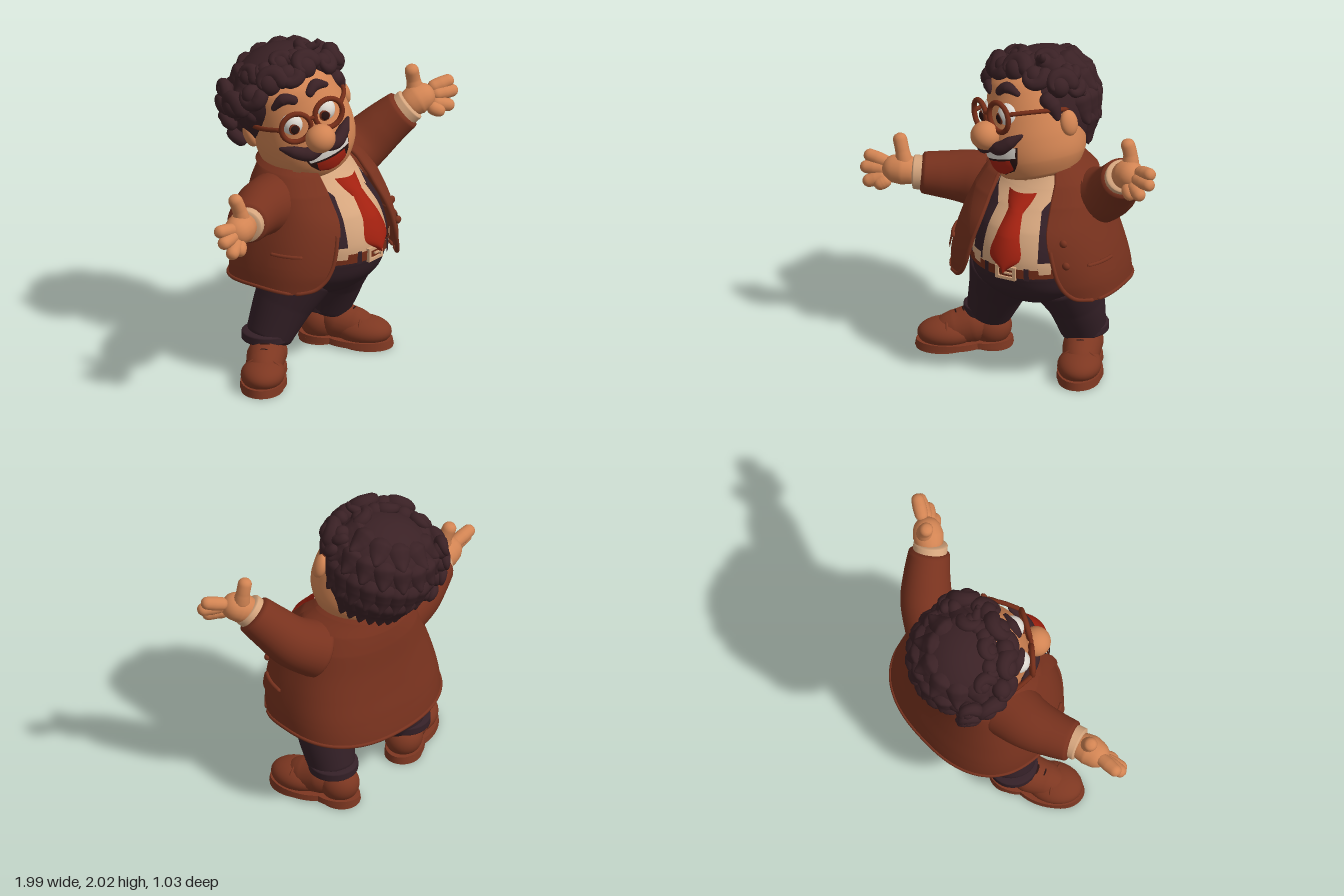
import * as THREE from 'three';
import { mergeVertices } from 'three/addons/utils/BufferGeometryUtils.js';
import { ParametricGeometry } from 'three/addons/geometries/ParametricGeometry.js';

const mat = (name, color) => new THREE.MeshStandardMaterial({ name, color, side: THREE.DoubleSide });
const skin = mat('skin', 0xd28453), hair = mat('hair', 0x3a2125), trouser = mat('trousers', 0x342027),
  jacketMat = mat('jacket', 0x78321e), shirtMat = mat('shirt', 0xd6a67e), tieMat = mat('tie red', 0xa32110),
  white = mat('white', 0xddd8d0), shoeMat = mat('shoe leather', 0x7d3721), leather = mat('belt leather', 0x742d18),
  dark = mat('dark', 0x2a1412);
const V = a => new THREE.Vector3(...a);

function add(parent, name, geo, material, pos = [0, 0, 0], scale = [1, 1, 1]) {
  const m = new THREE.Mesh(geo, material);
  m.name = name;
  m.position.set(...pos);
  m.scale.set(...scale);
  parent.add(m);
  return m;
}
const ball = (g, name, material, pos, scale) => add(g, name, new THREE.SphereGeometry(1, 32, 20), material, pos, scale);

// Tapered tube through points; cap = 1 gives round ends, small values nearly flat ends
function tube(g, name, material, pts, radii, cap = 1, n = 28, sides = 16) {
  const path = new THREE.CatmullRomCurve3(pts.map(V)), len = path.getLength();
  let geo = new THREE.TubeGeometry(path, n, 1, sides);
  const p = geo.attributes.position, v = new THREE.Vector3();
  for (let i = 0; i <= n; i++) {
    const c = path.getPointAt(i / n), k = i / n * (radii.length - 1), j = Math.min(Math.floor(k), radii.length - 2);
    const r = THREE.MathUtils.lerp(radii[j], radii[j + 1], k - j);
    const d = Math.min(1, Math.min(i, n - i) / n * len / (r * cap));
    for (let s = 0; s <= sides; s++) {
      const q = i * (sides + 1) + s;
      v.fromBufferAttribute(p, q).sub(c).multiplyScalar(r * Math.sqrt(1 - (1 - d) ** 2)).add(c);
      p.setXYZ(q, v.x, v.y, v.z);
    }
  }
  geo.deleteAttribute('normal');
  geo.deleteAttribute('uv');
  geo = mergeVertices(geo, 1e-5);
  geo.computeVertexNormals();
  return add(g, name, geo, material);
}

// Smooth interpolation of rows [y, ...values]
function at(rows, y) {
  let i = 0;
  while (i < rows.length - 2 && y > rows[i + 1][0]) i++;
  const b = rows[i], c = rows[i + 1], a = rows[i - 1] || b, d = rows[i + 2] || c;
  const s = THREE.MathUtils.clamp((y - b[0]) / (c[0] - b[0]), 0, 1);
  return b.map((_, k) => b[k] + 0.5 * s * (c[k] - a[k] + s * (2 * a[k] - 5 * b[k] + 4 * c[k] - d[k] + s * (3 * (b[k] - c[k]) + d[k] - a[k]))));
}
// Point on a body surface with rows [y, half width, front depth, back depth, squareness]; t runs round from the front
function around(rows, y, t, off = 0) {
  const [, a, f, b, n = 2] = at(rows, y), c = Math.cos(t), s = Math.sin(t);
  const k = (Math.abs(s) ** n + Math.abs(c) ** n) ** (-1 / n);
  return [(a * k + off) * s, y, ((c > 0 ? f : b) * k + off) * c];
}
// Patch of that surface between two angles that may depend on y; lift moves its lower edge
function patch(g, name, material, rows, y0, y1, ta, tb, off = 0, nu = 48, nv = 28, lift = () => 0) {
  return add(g, name, new ParametricGeometry((u, v, o) => {
    const y = y0 + (y1 - y0) * v, t = THREE.MathUtils.lerp(ta(y), tb(y), u);
    o.set(...around(rows, y, t, off));
    o.y += lift(t) * (1 - v) ** 2;
  }, nu, nv), material);
}
const full = [() => 0, () => Math.PI * 2];
// Band lying on the front of a surface; line rows are [y, centre x, half width]
function strip(g, name, material, rows, line, off, bulge = 0) {
  const y0 = line[0][0], y1 = line[line.length - 1][0];
  return add(g, name, new ParametricGeometry((u, v, o) => {
    const y = y0 + (y1 - y0) * v, [, cx, w] = at(line, y), [, a, f] = at(rows, y), k = 2 * u - 1, x = cx + w * k;
    o.set(x, y, f * Math.sqrt(Math.max(0.02, 1 - (x / a) ** 2)) + off + bulge * (1 - k * k));
  }, 16, 24), material);
}

const JACKET = [[0.57, 0.535, 0.4, 0.42, 2.5], [0.7, 0.525, 0.43, 0.4, 2.5], [0.85, 0.495, 0.435, 0.37, 2.4], [1, 0.45, 0.4, 0.345, 2.3],
  [1.15, 0.4, 0.3, 0.33, 2.2], [1.25, 0.33, 0.22, 0.31, 2.1], [1.32, 0.23, 0.15, 0.28, 2], [1.37, 0.16, 0.1, 0.23, 2]];
const OPEN = [[0.57, 1.02], [0.6, 0.78], [0.66, 0.65], [0.75, 0.58], [0.9, 0.54], [1.05, 0.51], [1.2, 0.55], [1.3, 0.7], [1.37, 1]];
const SHIRT = [[0.72, 0.395, 0.44, 0.3], [0.85, 0.4, 0.44, 0.3], [1, 0.37, 0.39, 0.29], [1.12, 0.32, 0.29, 0.27],
  [1.22, 0.25, 0.2, 0.2], [1.31, 0.19, 0.15, 0.14]];
const HIPS = [[0.46, 0.12, 0.1, 0.1], [0.5, 0.28, 0.27, 0.22], [0.6, 0.38, 0.385, 0.29], [0.7, 0.402, 0.435, 0.31], [0.765, 0.405, 0.448, 0.31]];
const HEAD = [[-0.32, 0.005, 0.005, 0.005], [-0.312, 0.12, 0.14, 0.12], [-0.27, 0.22, 0.255, 0.2], [-0.17, 0.285, 0.305, 0.26], [-0.05, 0.3, 0.315, 0.28],
  [0.08, 0.288, 0.29, 0.28], [0.2, 0.262, 0.262, 0.27], [0.3, 0.225, 0.225, 0.23], [0.38, 0.13, 0.13, 0.13], [0.41, 0.005, 0.005, 0.005]];

function buildBody(g) {
  const t0 = y => at(OPEN, y)[1], lift = t => 0.035 - 0.055 * Math.cos(t) ** 2;
  patch(g, 'hips', trouser, HIPS, 0.46, 0.765, ...full);
  patch(g, 'shirt', shirtMat, SHIRT, 0.755, 1.31, ...full);
  patch(g, 'jacket', jacketMat, JACKET, 0.57, 1.37, t0, y => Math.PI * 2 - t0(y), 0, 72, 48, lift);
  patch(g, 'jacketCollar', jacketMat, JACKET, 1.26, 1.36, () => 1.2, () => Math.PI * 2 - 1.2, 0.025);
  const hem = Array.from({ length: 25 }, (_, i) => {
    const t = 1 + i / 24 * (Math.PI * 2 - 2), [x, y, z] = around(JACKET, 0.575, t);
    return [x, y + lift(t), z];
  });
  tube(g, 'jacketHem', jacketMat, hem, [0.011, 0.011], 1, 72, 8);
  for (const s of [-1, 1]) {
    const edge = Array.from({ length: 22 }, (_, i) => {
      const [x, y, z] = around(JACKET, 0.575 + i * 0.036, s * t0(0.575 + i * 0.036));
      return [x, y + lift(t0(y)) * (1 - i / 22) ** 2, z];
    });
    tube(g, 'jacketEdge', jacketMat, edge, [0.013, 0.013], 1, 50, 8);
    // Lapels widen upward
    const w = y => t0(y) + Math.min(0.34, 0.02 + (y - 0.93) * 1.4);
    patch(g, 'lapel', jacketMat, JACKET, 0.93, 1.33, y => s > 0 ? t0(y) - 0.02 : -w(y), y => s > 0 ? w(y) : -t0(y) + 0.02, 0.022, 12, 24);
    patch(g, 'pocketFlap', jacketMat, JACKET, 0.75, 0.825, () => s > 0 ? 0.95 : -1.4, () => s > 0 ? 1.4 : -0.95, 0.018, 12, 4);
    tube(g, 'pocketSeam', jacketMat, [0.95, 1.1, 1.25, 1.4].map(t => around(JACKET, 0.825, s * t, 0.01)), [0.012, 0.012], 1, 20, 8);
    strip(g, 'suspender', trouser, SHIRT, [[0.8, s * 0.225, 0.042], [1, s * 0.21, 0.042], [1.22, s * 0.16, 0.04]], 0.012);
    strip(g, 'suspenderClip', shirtMat, SHIRT, [[0.77, s * 0.225, 0.032], [0.845, s * 0.225, 0.04]], 0.026);
    strip(g, 'shirtCollar', shirtMat, SHIRT, [[1.12, s * 0.14, 0.005], [1.2, s * 0.115, 0.075], [1.29, s * 0.09, 0.09]], 0.022);
    strip(g, 'beltLoop', trouser, SHIRT, [[0.735, s * 0.13, 0.014], [0.815, s * 0.13, 0.014]], 0.035);
  }
  for (const y of [0.84, 0.97]) ball(g, 'jacketButton', jacketMat, around(JACKET, y, 0.7, 0.01), [0.024, 0.024, 0.018]);
  strip(g, 'shirtPlacket', shirtMat, SHIRT, [[0.8, 0, 0.03], [1.2, 0, 0.03]], 0.006);
  // Belt and buckle
  patch(g, 'belt', leather, SHIRT, 0.74, 0.8, ...full, 0.02);
  const buckle = new THREE.Shape([[-0.065, -0.042], [0.065, -0.042], [0.065, 0.042], [-0.065, 0.042]].map(p => new THREE.Vector2(...p)));
  buckle.holes.push(new THREE.Path([[-0.045, -0.024], [-0.045, 0.024], [0.045, 0.024], [0.045, -0.024]].map(p => new THREE.Vector2(...p))));
  add(g, 'buckle', new THREE.ExtrudeGeometry(buckle, { depth: 0.02, bevelEnabled: false }), shirtMat, [0, 0.77, 0.452]);
  add(g, 'bucklePin', new THREE.BoxGeometry(0.06, 0.01, 0.012), shirtMat, [0.02, 0.77, 0.468]);
  // Tie blade and knot
  strip(g, 'tie', tieMat, SHIRT, [[0.79, 0.005, 0.004], [0.87, 0, 0.098], [1, 0, 0.075], [1.13, 0, 0.048]], 0.05, 0.022);
  strip(g, 'tieKnot', tieMat, SHIRT, [[1.11, 0, 0.05], [1.16, 0, 0.075], [1.21, 0, 0.09]], 0.038, 0.032);
  add(g, 'neck', new THREE.CylinderGeometry(0.14, 0.17, 0.2, 32), skin, [-0.02, 1.3, -0.03]);
}

function buildHead(g) {
  patch(g, 'face', skin, HEAD, -0.32, 0.41, ...full, 0, 56, 48);
  ball(g, 'nose', skin, [0, 0.015, 0.35], [0.09, 0.086, 0.088]);
  // Open mouth with teeth and tongue
  strip(g, 'mouth', dark, HEAD, [[-0.235, 0.035, 0.015], [-0.215, 0.035, 0.085], [-0.16, 0.035, 0.13], [-0.07, 0.03, 0.155]], 0.005);
  strip(g, 'upperTeeth', white, HEAD, [[-0.134, 0.035, 0.132], [-0.07, 0.03, 0.15]], 0.012);
  strip(g, 'tongue', tieMat, HEAD, [[-0.228, 0.035, 0.04], [-0.205, 0.035, 0.09], [-0.145, 0.035, 0.095]], 0.011, 0.006);
  for (const s of [-1, 1]) {
    ball(g, 'eye', white, [s * 0.1, 0.12, 0.218], [0.073, 0.077, 0.073]);
    ball(g, 'iris', leather, [s * 0.1 - 0.015, 0.108, 0.283], [0.034, 0.036, 0.012]);
    ball(g, 'pupil', dark, [s * 0.1 - 0.015, 0.108, 0.291], [0.025, 0.027, 0.008]);
    add(g, 'glassesRim', new THREE.TorusGeometry(0.09, 0.016, 12, 40), leather, [s * 0.107, 0.12, 0.3]).rotation.y = s * 0.12;
    tube(g, 'glassesTemple', leather, [[s * 0.192, 0.14, 0.295], [s * 0.27, 0.13, 0.15], [s * 0.305, 0.1, -0.07]], [0.014, 0.014], 1, 16, 8);
    tube(g, 'eyebrow', hair, [[s * 0.03, 0.245, 0.242], [s * 0.1, 0.28, 0.212], [s * 0.185, 0.23, 0.178]], [0.026, 0.036, 0.014]);
    tube(g, 'moustache', hair, [[0, -0.052, 0.325], [s * 0.09, -0.064, 0.32], [s * 0.165, -0.03, 0.28], [s * 0.23, 0.005, 0.225]], [0.034, 0.043, 0.036, 0.008]);
    ball(g, 'ear', skin, [s * 0.305, 0.02, -0.05], [0.04, 0.078, 0.055]);
    tube(g, 'sideburn', hair, [[s * 0.25, 0.22, 0.06], [s * 0.282, 0.12, 0.02], [s * 0.285, 0.04, 0.01]], [0.06, 0.05, 0.015]);
  }
  tube(g, 'glassesBridge', leather, [[-0.03, 0.135, 0.303], [0, 0.145, 0.315], [0.03, 0.135, 0.303]], [0.013, 0.013], 1, 12, 8);

  // Hair mass, deeper at the nape
  const onHair = (az, el, s = 1) => [-0.02 + 0.325 * s * Math.cos(el) * Math.sin(az),
    0.17 + (el > 0 ? 0.285 : 0.4) * s * Math.sin(el), -0.1 + 0.31 * s * Math.cos(el) * Math.cos(az)];
  add(g, 'hairMass', new ParametricGeometry((u, v, o) => o.set(...onHair(u * Math.PI * 2, (v - 0.5) * Math.PI)), 48, 32), hair);
  // Broad swept locks in staggered rings around the sides and back
  [[1.1, 7, 1.7], [0.65, 9, 1.55], [0.2, 10, 1.35], [-0.2, 9, 1.1]].forEach(([el, n, spread], k) => {
    for (let i = 0; i < n; i++) {
      const az = Math.PI + (i / (n - 1) * 2 - 1) * spread + (k % 2) * 0.1;
      tube(g, 'lock', hair, [onHair(az, el, 0.83), onHair(az + 0.05, el - 0.28, 0.82), onHair(az + 0.1, el - 0.52, 0.89), onHair(az + 0.12, el - 0.68, 1.1)],
        [0.07, 0.09, 0.065, 0.006], 1, 20, 12);
    }
  });
  // Curls: hooked tufts over the forehead, temples and crown
  const curl = (az, el, r, turn, s = 1.03) => {
    const c = V(onHair(az, el, s)), e1 = new THREE.Vector3(Math.cos(az), 0, -Math.sin(az));
    const out = V(onHair(az, el)).sub(V([-0.02, 0.17, -0.1])).normalize(), e2 = new THREE.Vector3().crossVectors(out, e1), pts = [];
    for (let i = 0; i < 7; i++) {
      const a = turn * (i * 0.75 - 0.6), q = r * (1.15 - i * 0.1);
      pts.push(c.clone().addScaledVector(e1, Math.cos(a) * q).addScaledVector(e2, Math.sin(a) * q).addScaledVector(out, i * 0.007).toArray());
    }
    tube(g, 'curl', hair, pts, [r * 0.7, r * 0.75, r * 0.55, r * 0.2], 1, 26, 10);
    ball(g, 'curlCore', hair, c.toArray(), [r, r, r * 0.9]);
  };
  for (let i = -3; i <= 3; i++) curl(i * 0.44, 0.76 - 0.055 * i * i, 0.064 + 0.008 * (Math.abs(i) % 2), i % 2 ? 1 : -1, 1.06);
  for (let i = -2; i <= 2; i++) curl(i * 0.6, 1.08 - 0.05 * i * i, 0.056, i % 2 ? -1 : 1, 0.96);
  for (const el of [-0.4, -0.12, 0.17, 0.46]) curl(-1.7, el, 0.054, 1, 1.1);
  for (const el of [0.2, 0.5]) curl(1.6, el, 0.05, -1);
  tube(g, 'topTuft', hair, [[0.12, 0.35, -0.02], [0.19, 0.41, 0], [0.24, 0.42, 0.02], [0.25, 0.455, 0.02]], [0.05, 0.038, 0.024, 0.01], 1, 18, 10);
}

function buildArm(g, side, sleeve, radii, cuff, palm, fingers, thumb) {
  const arm = new THREE.Group();
  arm.name = side + 'Arm';
  g.add(arm);
  tube(arm, 'sleeve', jacketMat, sleeve, radii, 0.25, 40, 28);
  tube(arm, 'shirtCuff', shirtMat, cuff, [0.102, 0.102], 0.15, 24, 24);
  tube(arm, 'palm', skin, palm, [0.07, 0.092, 0.072], 0.9, 28, 20);
  fingers.forEach(f => tube(arm, 'finger', skin, f, [0.038, 0.042, 0.036]));
  tube(arm, 'thumb', skin, thumb, [0.058, 0.042, 0.042]);
}

function buildLeg(g, side, pts, radii, foot, yaw) {
  const leg = new THREE.Group(), shoe = new THREE.Group(), [x, , z] = pts[2];
  leg.name = side + 'Leg';
  shoe.name = side + 'Shoe';
  g.add(leg);
  leg.add(shoe);
  tube(leg, 'trouserLeg', trouser, pts, radii, 0.3, 40, 28);
  tube(leg, 'trouserCuff', trouser, [[x, 0.2, z], [x, 0.285, z]], [0.147, 0.147], 0.15, 20, 28);
  shoe.position.set(...foot);
  shoe.rotation.y = yaw;
  // Sole, heel, rounded toe, instep and laces
  const disc = () => new THREE.CylinderGeometry(0.97, 1, 1, 36);
  add(shoe, 'sole', disc(), shoeMat, [0, 0.032, 0.075], [0.138, 0.036, 0.22]);
  add(shoe, 'soleBack', disc(), shoeMat, [0, 0.032, -0.13], [0.115, 0.036, 0.158]);
  add(shoe, 'heel', disc(), shoeMat, [0, 0.015, -0.165], [0.11, 0.03, 0.118]);
  add(shoe, 'soleTread', disc(), shoeMat, [0, 0.012, 0.13], [0.125, 0.024, 0.16]);
  ball(shoe, 'toe', shoeMat, [0, 0.09, 0.11], [0.13, 0.088, 0.172]);
  tube(shoe, 'instep', shoeMat, [[0, 0.1, 0.19], [0, 0.115, 0.05], [0, 0.14, -0.06], [0, 0.15, -0.16]], [0.07, 0.105, 0.115, 0.105], 1, 30, 20);
  ball(shoe, 'heelCounter', shoeMat, [0, 0.12, -0.155], [0.114, 0.115, 0.122]);
  tube(shoe, 'toeSeam', shoeMat, [[-0.124, 0.07, 0.12], [-0.09, 0.15, 0.115], [0, 0.188, 0.11], [0.09, 0.15, 0.115], [0.124, 0.07, 0.12]], [0.008, 0.008], 1, 24, 8);
  for (const lz of [0.0, 0.045]) tube(shoe, 'lace', dark, [[-0.06, 0.215 - lz * 0.4, lz], [0, 0.236 - lz * 0.4, lz + 0.01], [0.06, 0.215 - lz * 0.4, lz]], [0.008, 0.008], 1, 14, 8);
}

export function createModel() {
  const model = new THREE.Group();
  model.name = 'cheerfulMan';
  const body = new THREE.Group(), head = new THREE.Group();
  body.name = 'body';
  body.position.set(0.015, 0, -0.03);
  body.rotation.y = 0.3;
  head.name = 'head';
  head.position.set(-0.055, 1.505, -0.06);
  head.rotation.set(0, -0.245, 0.315, 'YXZ');
  model.add(body, head);
  buildBody(body);
  buildHead(head);
  buildArm(model, 'right', [[-0.26, 1.06, 0.01], [-0.45, 1.08, 0.1], [-0.58, 1.09, 0.2], [-0.68, 1.1, 0.29]], [0.19, 0.168, 0.142, 0.12],
    [[-0.64, 1.1, 0.26], [-0.71, 1.1, 0.315]], [[-0.66, 1.1, 0.27], [-0.77, 1.11, 0.35], [-0.87, 1.1, 0.4]],
    [[[-0.82, 1.13, 0.37], [-0.99, 1.17, 0.43]], [[-0.83, 1.1, 0.39], [-0.985, 1.1, 0.47]], [[-0.82, 1.07, 0.4], [-0.935, 1.02, 0.5]], [[-0.8, 1.06, 0.4], [-0.86, 1.01, 0.48]]],
    [[-0.74, 1.12, 0.34], [-0.765, 1.23, 0.34], [-0.805, 1.33, 0.33]]);
  buildArm(model, 'left', [[0.28, 1.1, -0.17], [0.46, 1.205, -0.15], [0.57, 1.31, -0.1], [0.68, 1.42, -0.03]], [0.18, 0.16, 0.14, 0.12],
    [[0.64, 1.38, -0.05], [0.705, 1.445, -0.012]], [[0.65, 1.4, -0.04], [0.75, 1.465, -0.01], [0.85, 1.48, 0.01]],
    [[[0.82, 1.51, -0.01], [0.98, 1.55, 0.02]], [[0.82, 1.48, 0.02], [0.995, 1.485, 0.04]], [[0.81, 1.44, 0.03], [0.945, 1.405, 0.08]], [[0.78, 1.43, 0.04], [0.87, 1.38, 0.09]]],
    [[0.745, 1.48, -0.03], [0.735, 1.58, -0.04], [0.71, 1.68, -0.03]]);
  buildLeg(model, 'right', [[-0.14, 0.66, 0.08], [-0.26, 0.42, 0.05], [-0.36, 0.2, 0.03]], [0.24, 0.178, 0.132], [-0.445, 0, 0.14], -0.72);
  buildLeg(model, 'left', [[0.2, 0.66, -0.02], [0.225, 0.42, -0.11], [0.215, 0.2, -0.185]], [0.24, 0.172, 0.132], [0.285, 0, -0.09], 0.66);
  return model;
}
